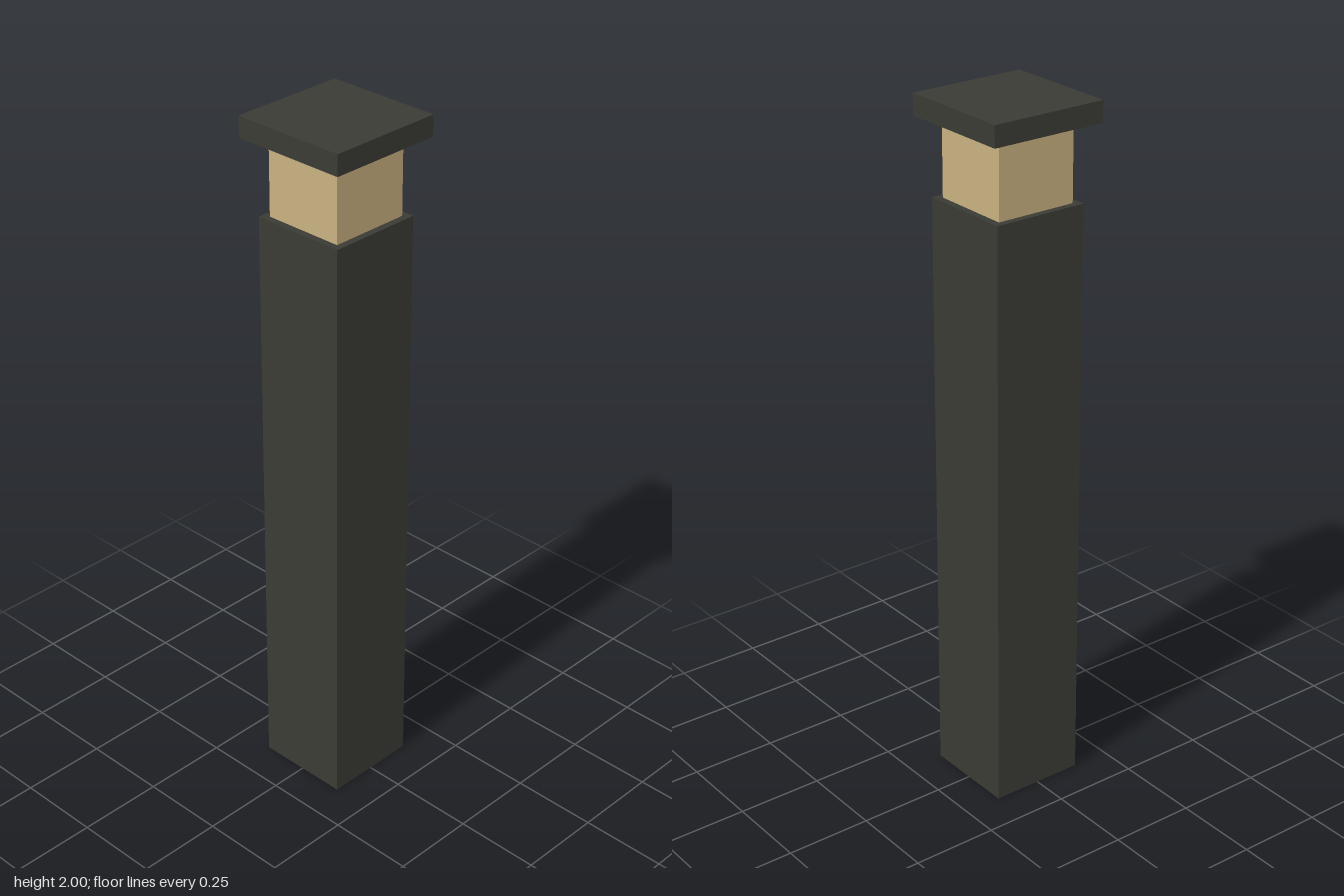
import * as THREE from 'three';

export function createModel() {
  const group = new THREE.Group();
  group.name = 'bollardLight';

  const darkMetal = new THREE.MeshStandardMaterial({ color: 0x3b3b35 });
  darkMetal.name = 'dark metal';
  const warmGlass = new THREE.MeshStandardMaterial({ color: 0xc9b180 });
  warmGlass.name = 'warm glass';

  // Square block of a given width, spanning bottom to top
  function addBlock(name, width, bottom, top, material) {
    const mesh = new THREE.Mesh(new THREE.BoxGeometry(width, top - bottom, width), material);
    mesh.name = name;
    mesh.position.y = (bottom + top) / 2;
    group.add(mesh);
  }

  addBlock('post', 0.28, 0, 1.722, darkMetal);
  addBlock('lampGlass', 0.24, 1.722, 1.94, warmGlass);
  addBlock('cap', 0.345, 1.94, 2, darkMetal);

  return group;
}
